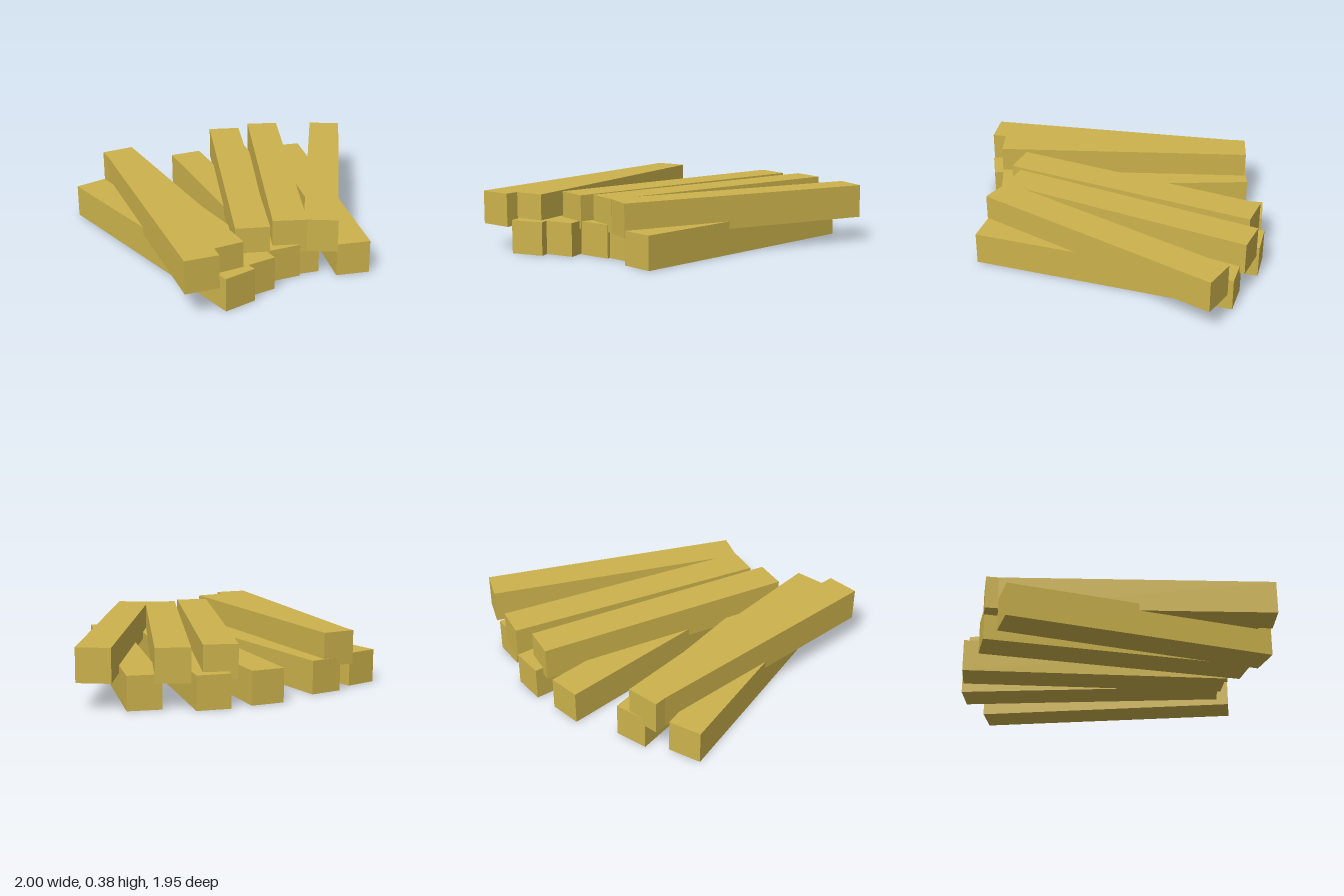
import * as THREE from 'three';

const LENGTH = 1.7, SIDE = 0.2125;

export function createModel() {
  const group = new THREE.Group();
  group.name = 'timberPile';
  const wood = new THREE.MeshStandardMaterial({ color: 0xccb24c });
  wood.name = 'yellow wood';
  const geometry = new THREE.BoxGeometry(SIDE, SIDE, LENGTH);

  // One beam, from the centre of its back end to the centre of its front end
  const addBeam = (name, y, [bx, bz, fx, fz]) => {
    const beam = new THREE.Mesh(geometry, wood);
    beam.name = name;
    beam.position.set((bx + fx) / 2, y + SIDE / 2, (bz + fz) / 2);
    beam.rotation.y = Math.atan2(fx - bx, fz - bz);
    group.add(beam);
  };

  // Bottom layer, resting on the ground
  [
    [-0.9, -0.707, -0.487, 0.943],
    [-0.574, -0.834, -0.319, 0.846],
    [-0.107, -0.96, -0.107, 0.74],
    [0.246, -0.964, 0.026, 0.721],
    [0.627, -0.824, 0.312, 0.851],
  ].forEach((ends, i) => addBeam(`lowerBeam${i + 1}`, 0, ends));

  // Top layer, sunk slightly into the bottom one
  [
    [-0.658, -0.733, -0.735, 0.966],
    [-0.664, -0.822, -0.54, 0.875],
    [0.18, -0.91, -0.31, 0.717],
    [0.478, -0.898, -0.06, 0.713],
    [0.905, -0.72, 0.115, 0.785],
  ].forEach((ends, i) => addBeam(`upperBeam${i + 1}`, 0.165, ends));

  return group;
}
